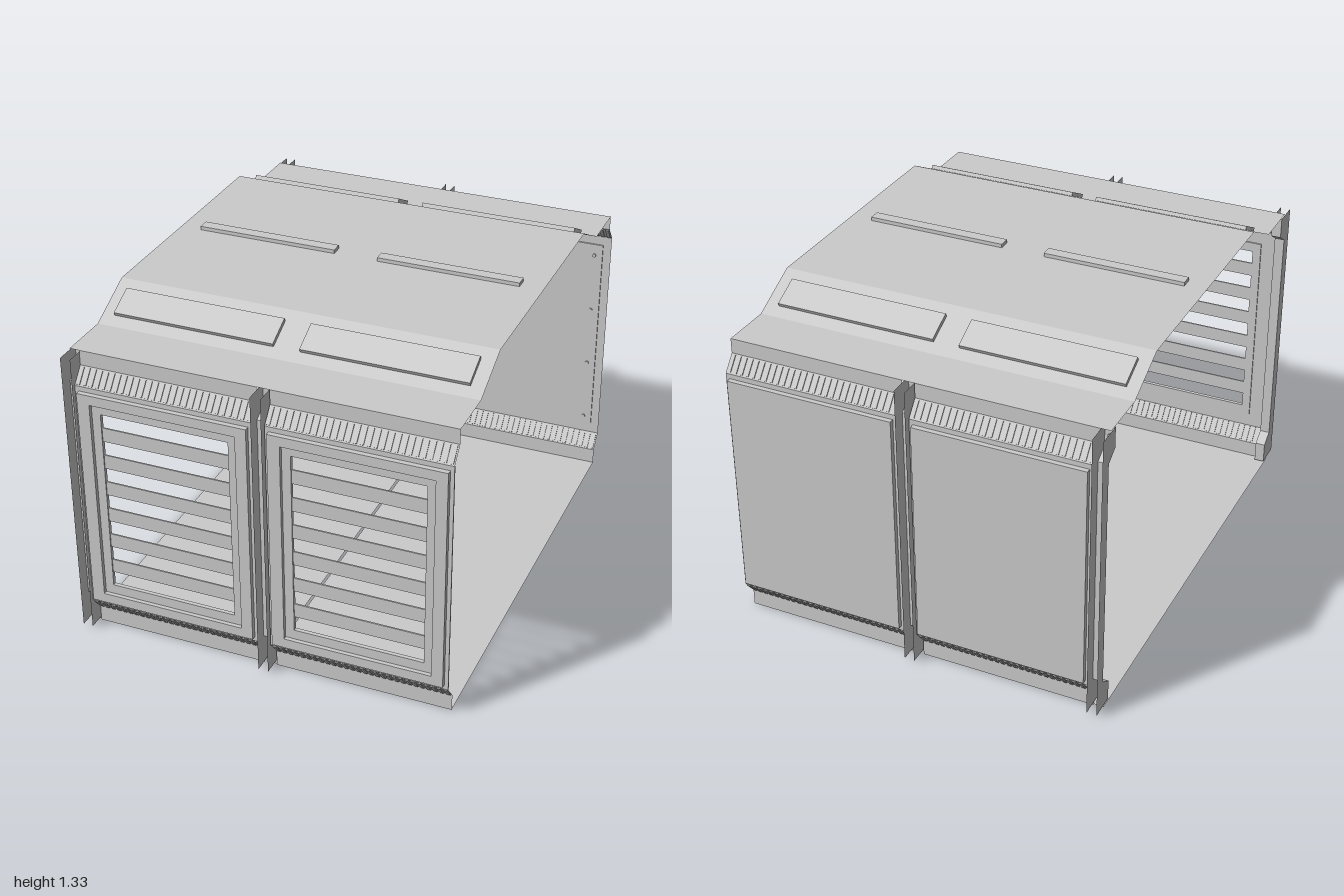
import * as THREE from 'three';

const solid = new THREE.MeshStandardMaterial({ color: 0xcccccc, flatShading: true });
const thin = new THREE.MeshStandardMaterial({ color: 0xcccccc, flatShading: true, side: THREE.DoubleSide });

function add(parent, name, geometry, material = solid) {
  const mesh = new THREE.Mesh(geometry, material);
  mesh.name = name;
  parent.add(mesh);
  return mesh;
}

// Box from its limits on each axis
function box(parent, name, x0, x1, y0, y1, z0, z1) {
  const m = add(parent, name, new THREE.BoxGeometry(x1 - x0, y1 - y0, Math.abs(z1 - z0)));
  m.position.set((x0 + x1) / 2, (y0 + y1) / 2, (z0 + z1) / 2);
  return m;
}

// Folded sheet: a [z, y] profile swept from x0 to x1
function sheet(parent, name, profile, x0, x1) {
  const v = [];
  for (let i = 0; i < profile.length - 1; i++) {
    const [za, ya] = profile[i], [zb, yb] = profile[i + 1];
    v.push(x0, ya, za, x0, yb, zb, x1, yb, zb, x0, ya, za, x1, yb, zb, x1, ya, za);
  }
  const g = new THREE.BufferGeometry();
  g.setAttribute('position', new THREE.Float32BufferAttribute(v, 3));
  g.computeVertexNormals();
  return add(parent, name, g, thin);
}

function rect(Type, x0, x1, y0, y1) {
  const p = new Type();
  p.moveTo(x0, y0);
  p.lineTo(x1, y0);
  p.lineTo(x1, y1);
  p.lineTo(x0, y1);
  p.closePath();
  return p;
}

// Rectangular frame with an opening; o and h are [x0, x1, y0, y1]
function frame(parent, name, o, h, z0, z1) {
  const s = rect(THREE.Shape, ...o);
  s.holes.push(rect(THREE.Path, ...h));
  const g = new THREE.ExtrudeGeometry(s, { depth: Math.abs(z1 - z0), bevelEnabled: false });
  add(parent, name, g).position.z = Math.min(z0, z1);
}

// Sloped vent strip with raised ribs between [z, y] points a and b
function ribbedStrip(parent, name, a, b, x0, x1) {
  sheet(parent, name, [a, b], x0, x1);
  const dz = b[0] - a[0], dy = b[1] - a[1], n = 28;
  const g = new THREE.BoxGeometry((x1 - x0) / n * 0.55, Math.hypot(dz, dy) * 0.86, 0.008);
  for (let i = 0; i < n; i++) {
    const rib = add(parent, name + 'Rib', g);
    rib.position.set(x0 + (i + 0.5) * (x1 - x0) / n, (a[1] + b[1]) / 2, (a[0] + b[0]) / 2);
    rib.rotation.x = Math.atan2(dz, dy);
  }
}

// Post: two thin fins joined by a web along their inner edge
function post(parent, x, s) {
  const inner = [[0.89, 1.205], [0.89, 1.12], [0.945, 1.085], [0.945, 0.135], [0.89, 0.1], [0.89, 0.015]]
    .map(([z, y]) => [z * s, y]);
  const outline = [...inner, [s, 0.015], [s, 1.205]].map(([z, y]) => new THREE.Vector2(z, y));
  const g = new THREE.ShapeGeometry(new THREE.Shape(outline)).rotateY(-Math.PI / 2);
  for (const dx of [0, 0.04]) add(parent, 'postFin', g, thin).position.x = x + dx;
  sheet(parent, 'postWeb', inner, x, x + 0.04);
  for (const y of [0.06, 1.165]) {
    const bolt = add(parent, 'postBolt', new THREE.CylinderGeometry(0.008, 0.008, 0.008, 8));
    bolt.rotation.x = Math.PI / 2;
    bolt.position.set(x + 0.02, y, 0.894 * s);
  }
}

// One bay of wall between two posts; s = 1 front, -1 back
function wallBay(parent, x, s) {
  const bay = new THREE.Group();
  bay.name = s > 0 ? 'louvredWallBay' : 'closedWallBay';
  parent.add(bay);
  const x0 = x + 0.04, x1 = x + 0.75;
  const zi = 0.93 * s, zo = 0.98 * s;

  sheet(bay, 'upperWall', [[zi, 1.21], [zi, 1.15]], x0, x1);
  sheet(bay, 'skirt', [[zi, 0.07], [zi, 0]], x0, x1);
  ribbedStrip(bay, 'upperVent', [zi, 1.15], [zo, 1.09], x0, x1);
  ribbedStrip(bay, 'lowerVent', [zo, 0.13], [zi, 0.07], x0, x1);

  const panel = [x + 0.055, x + 0.735, 0.15, 1.07];
  if (s > 0) {
    // Stepped window frame with open louvres
    const step = [x + 0.105, x + 0.69, 0.19, 1.03];
    const hole = [x + 0.14, x + 0.655, 0.23, 0.99];
    frame(bay, 'wallSheet', [x0, x1, 0.13, 1.09], step, 0.974, 0.98);
    frame(bay, 'windowFrame', panel, step, 0.98, 1);
    frame(bay, 'innerFrame', step, hole, 0.968, 0.984);
    const pitch = (hole[3] - hole[2]) / 13;
    for (let i = 1; i < 13; i += 2) {
      const y = hole[2] + i * pitch;
      box(bay, 'louvre', hole[0], hole[1], y, y + pitch, 0.973, 0.979);
    }
  } else {
    // Closed panel, bolted on the inside
    sheet(bay, 'wallSheet', [[zo, 0.13], [zo, 1.09]], x0, x1);
    box(bay, 'outerPanel', ...panel, zo, -1);
    box(bay, 'innerPanel', x + 0.075, x + 0.715, 0.17, 1.05, zo, -0.974);
    const g = new THREE.CylinderGeometry(0.008, 0.008, 0.008, 10).rotateX(Math.PI / 2);
    for (const bx of [x + 0.11, x + 0.68])
      for (const y of [0.21, 0.48, 0.74, 1.0])
        add(bay, 'panelBolt', g).position.set(bx, y, -0.972);
  }
}

// Sloped roof vent with three bars on the underside
function roofVent(parent, x0, x1, s) {
  const vent = new THREE.Group();
  vent.name = 'roofVent';
  vent.position.set(0, 1.26, 0.622 * s);
  vent.rotation.x = s * Math.atan2(0.1, 0.2);
  parent.add(vent);
  box(vent, 'ventCover', x0, x1, 0, 0.016, -0.06, 0.06);
  for (const z of [-0.036, 0, 0.036])
    box(vent, 'ventBar', x0 + 0.03, x1 - 0.03, -0.012, -0.001, z - 0.01, z + 0.01);
}

export function createModel() {
  const model = new THREE.Group();
  model.name = 'corridorSection';

  // Roof, folded lengthwise
  sheet(model, 'roof', [[0.93, 1.21], [0.72, 1.21], [0.52, 1.31], [-0.52, 1.31], [-0.72, 1.21], [-0.93, 1.21]],
    -0.755, 0.755);

  for (const x of [-0.755, 0.005]) {
    // Floor plates, with a narrow gap between them
    sheet(model, 'floorPlate', [[0.93, 0.005], [-0.93, 0.005]], x, x + 0.75);
    for (const s of [1, -1]) {
      const w = new THREE.Group();
      w.name = s > 0 ? 'frontWall' : 'backWall';
      model.add(w);
      post(w, x < 0 ? x : x - 0.005, s);
      wallBay(w, x, s);
    }
  }

  // Roof vents and ceiling strips
  for (const [x0, x1] of [[-0.705, -0.055], [0.05, 0.7]]) {
    for (const s of [1, -1]) roofVent(model, x0, x1, s);
    const c = (x0 + x1) / 2;
    box(model, 'ceilingStrip', c - 0.288, c + 0.288, 1.304, 1.325, -0.024, 0.024);
  }
  return model;
}
